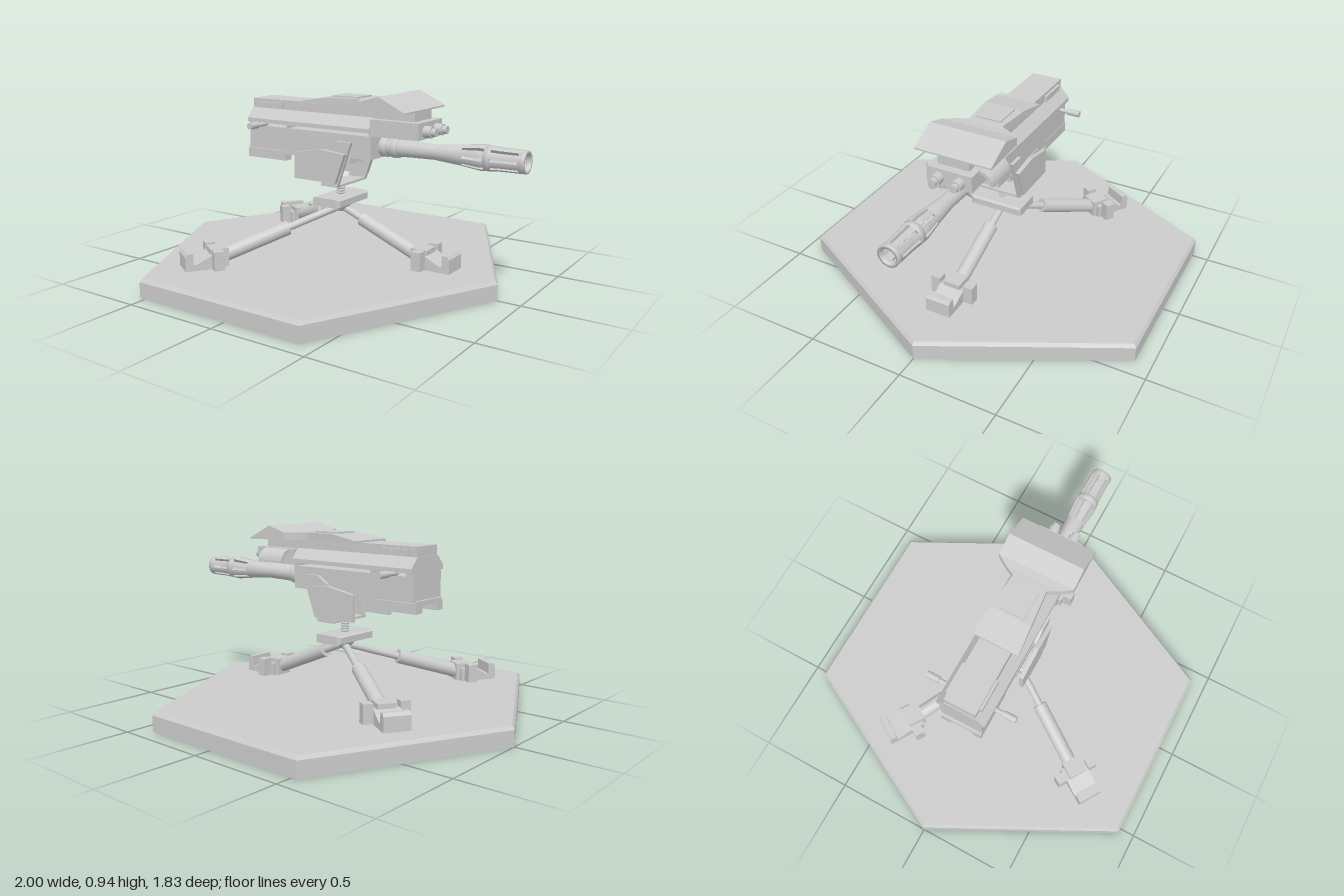
import * as THREE from 'three';

const flat = new THREE.MeshStandardMaterial({ color: 0xcccccc, flatShading: true });
const shell = new THREE.MeshStandardMaterial({ color: 0xcccccc, flatShading: true, side: THREE.DoubleSide });
const smooth = new THREE.MeshStandardMaterial({ color: 0xcccccc, side: THREE.DoubleSide });

function add(parent, name, geo, mat = flat) {
  const m = new THREE.Mesh(geo, mat);
  m.name = name;
  parent.add(m);
  return m;
}

// Box from its limits on each axis
function box(parent, name, x0, x1, y0, y1, z0, z1) {
  const g = new THREE.BoxGeometry(x1 - x0, y1 - y0, z1 - z0);
  g.translate((x0 + x1) / 2, (y0 + y1) / 2, (z0 + z1) / 2);
  return add(parent, name, g);
}

function shapeOf(points) {
  return new THREE.Shape(points.map(([x, y]) => new THREE.Vector2(x, y)));
}

// Side profile (x, y) extruded from z0 to z1
function plate(parent, name, points, z0, z1) {
  const g = new THREE.ExtrudeGeometry(shapeOf(points), { depth: z1 - z0, bevelEnabled: false });
  return add(parent, name, g.translate(0, 0, z0));
}

// Round bar between two points
function rod(parent, name, a, b, r) {
  const A = new THREE.Vector3(...a), B = new THREE.Vector3(...b);
  const d = B.clone().sub(A);
  const m = add(parent, name, new THREE.CylinderGeometry(r, r, d.length(), 20), smooth);
  m.position.copy(A).add(B).multiplyScalar(0.5);
  m.quaternion.setFromUnitVectors(new THREE.Vector3(0, 1, 0), d.normalize());
  return m;
}

// Rectangular sections [x, half width, bottom, top] joined along x
function loft(parent, name, secs) {
  const n = secs.length - 1;
  const g = new THREE.BoxGeometry(n, 1, 1, n, 1, 1), p = g.attributes.position;
  for (let i = 0; i < p.count; i++) {
    const [x, w, y0, y1] = secs[Math.round(p.getX(i) + n / 2)];
    p.setXYZ(i, x, p.getY(i) > 0 ? y1 : y0, Math.sign(p.getZ(i)) * w);
  }
  g.computeVertexNormals();
  return add(parent, name, g);
}

// Hexagonal ground slab: an open-bottomed shell with a chamfered top rim
function makeBase() {
  const outer = [[-1, 0], [-0.53, 0.917], [0.412, 0.917], [0.883, 0], [0.412, -0.917], [-0.53, -0.917]];
  const levels = [[0, 1], [0.08, 1], [0.097, 0.985]];
  const pos = [], idx = [];
  for (const [y, s] of levels) for (const [x, z] of outer) pos.push(-0.06 + (x + 0.06) * s, y, z * s);
  for (let l = 0; l < 2; l++) {
    for (let i = 0; i < 6; i++) {
      const a = l * 6 + i, b = l * 6 + (i + 1) % 6;
      idx.push(a, b, b + 6, a, b + 6, a + 6);
    }
  }
  for (let i = 1; i < 5; i++) idx.push(12, 12 + i, 13 + i);
  const g = new THREE.BufferGeometry();
  g.setAttribute('position', new THREE.Float32BufferAttribute(pos, 3));
  g.setIndex(idx);
  g.computeVertexNormals();
  return g;
}

// Telescopic leg along +x with a clamped foot ending at distance r
function makeLeg(r, angle) {
  const leg = new THREE.Group();
  leg.name = 'leg';
  const hub = new THREE.Vector3(0, 0.34, 0), end = new THREE.Vector3(r - 0.17, 0.138, 0);
  const top = hub.clone().lerp(end, 1 - 0.39 / hub.distanceTo(end));
  rod(leg, 'innerRod', hub.toArray(), top.toArray(), 0.019);
  rod(leg, 'outerTube', top.toArray(), end.toArray(), 0.037);
  plate(leg, 'foot', [[-0.2, 0.103], [0, 0.103], [0, 0.175], [-0.012, 0.19], [-0.04, 0.19], [-0.04, 0.135],
    [-0.055, 0.135], [-0.13, 0.17], [-0.2, 0.17]].map(([x, y]) => [x + r, y]), -0.065, 0.065);
  box(leg, 'footClamp', r - 0.22, r - 0.13, 0.105, 0.195, -0.045, 0.045);
  for (const s of [-1, 1]) {
    box(leg, 'clampEar', r - 0.18, r - 0.13, 0.105, 0.2, s * 0.09 - 0.025, s * 0.09 + 0.025);
  }
  leg.rotation.y = angle * Math.PI / 180;
  return leg;
}

// Sector of a ring as a closed shape
function ringSector(r0, r1, a0, a1) {
  const s = new THREE.Shape();
  s.absarc(0, 0, r1, a0, a1, false);
  s.absarc(0, 0, r0, a1, a0, true);
  return s;
}

// Barrel with a slotted muzzle, built along x
function makeBarrel() {
  const barrel = new THREE.Group();
  barrel.name = 'barrel';
  const ring = (name, profile) => {
    const g = new THREE.LatheGeometry(profile.map(([x, r]) => new THREE.Vector2(r, x)), 24);
    add(barrel, name, g.rotateZ(-Math.PI / 2), smooth);
  };
  ring('barrelTube', [[0.2, 0], [0.2, 0.042], [0.36, 0.042], [0.4, 0.04], [0.54, 0.037], [0.57, 0.04],
    [0.69, 0.05], [0.69, 0.034], [0.6, 0.03], [0.6, 0]]);
  for (const x of [0.25, 0.31]) ring('barrelCollar', [[x, 0.04], [x, 0.05], [x + 0.035, 0.05], [x + 0.035, 0.04]]);
  ring('muzzleBand', [[0.805, 0.042], [0.805, 0.061], [0.835, 0.059], [0.835, 0.042], [0.805, 0.042]]);
  ring('muzzleRing', [[0.97, 0.04], [0.97, 0.054], [1, 0.054], [1, 0.04], [0.97, 0.04]]);
  // Prongs separated by slots
  const count = 8;
  for (let i = 0; i < count; i++) {
    const a = (i + 0.5) / count * Math.PI * 2, h = 0.27;
    const g = new THREE.ExtrudeGeometry(ringSector(0.04, 0.058, a - h, a + h),
      { depth: 0.3, steps: 3, bevelEnabled: false, curveSegments: 4 });
    const p = g.attributes.position;
    for (let k = 0; k < p.count; k++) {
      const f = [0.86, 1.07, 0.95, 0.93][Math.round(p.getZ(k) / 0.1)];
      p.setXY(k, p.getX(k) * f, p.getY(k) * f);
    }
    g.computeVertexNormals();
    add(barrel, 'muzzleProng', g.rotateY(Math.PI / 2).translate(0.68, 0, 0));
  }
  barrel.position.y = 0.675;
  return barrel;
}

export function createModel() {
  const model = new THREE.Group();
  model.name = 'tripodGun';
  add(model, 'base', makeBase(), shell);

  // Tripod
  model.add(makeLeg(0.66, 0), makeLeg(0.785, 147.5), makeLeg(0.84, -122.8));
  add(model, 'hubBall', new THREE.SphereGeometry(0.03, 20, 12), smooth).position.y = 0.338;
  loft(model, 'hubPlate', [[-0.085, 0.13, 0.362, 0.395], [-0.072, 0.143, 0.358, 0.402],
    [0.065, 0.143, 0.358, 0.402], [0.078, 0.13, 0.362, 0.395]]);
  const cone = add(model, 'hubCone', new THREE.CylinderGeometry(0.065, 0.035, 0.035, 8));
  cone.position.y = 0.343;
  rod(model, 'pivotPost', [-0.005, 0.4, 0], [-0.005, 0.47, 0], 0.014);
  for (let i = 0; i < 5; i++) {
    const t = add(model, 'pivotThread', new THREE.TorusGeometry(0.016, 0.006, 8, 20), smooth);
    t.rotation.x = Math.PI / 2;
    t.position.set(-0.005, 0.409 + i * 0.013, 0);
  }

  // Cradle
  const cradle = new THREE.Group();
  cradle.name = 'cradle';
  model.add(cradle);
  box(cradle, 'cradleFloor', -0.035, 0.065, 0.463, 0.475, -0.13, 0.13);
  for (const s of [-1, 1]) {
    const side = (name, pts, a, b) => plate(cradle, name, pts, Math.min(s * a, s * b), Math.max(s * a, s * b));
    side('cradleArm', [[-0.035, 0.465], [0.065, 0.465], [0.145, 0.7], [0.06, 0.7], [0, 0.66]], 0.118, 0.135);
    side('cradlePanel', [[-0.185, 0.49], [0.065, 0.49], [0.12, 0.64], [-0.02, 0.655], [-0.185, 0.625]], 0.135, 0.157);
  }
  box(cradle, 'cradleBed', -0.18, 0.13, 0.59, 0.625, -0.115, 0.115);

  // Receiver: lower box, slot spacers, chamfered upper and front housing
  const receiver = new THREE.Group();
  receiver.name = 'receiver';
  model.add(receiver);
  box(receiver, 'lowerBody', -0.515, 0.245, 0.62, 0.736, -0.112, 0.112);
  for (const [a, b] of [[-0.515, -0.47], [-0.272, -0.258], [0.232, 0.245]]) {
    box(receiver, 'slotSpacer', a, b, 0.736, 0.754, -0.112, 0.112);
  }
  const upper = new THREE.ExtrudeGeometry(shapeOf([[-0.13, 0.754], [0.13, 0.754], [0.13, 0.775], [0.085, 0.826],
    [-0.085, 0.826], [-0.13, 0.775]]), { depth: 0.76, bevelEnabled: false });
  add(receiver, 'upperBody', upper.rotateY(Math.PI / 2).translate(-0.515, 0, 0));
  box(receiver, 'frontHousing', 0.245, 0.51, 0.74, 0.822, -0.118, 0.118);
  box(receiver, 'topCover', -0.51, 0.47, 0.822, 0.875, -0.082, 0.082);
  loft(receiver, 'sightShield', [[-0.17, 0.12, 0.872, 0.884], [-0.02, 0.108, 0.872, 0.91], [0.17, 0.09, 0.872, 0.91],
    [0.195, 0.14, 0.872, 0.91], [0.235, 0.2, 0.872, 0.913], [0.34, 0.2, 0.872, 0.943], [0.48, 0.2, 0.868, 0.876]]);
  box(receiver, 'coverPanel', -0.01, 0.14, 0.905, 0.917, -0.065, 0.065);
  box(receiver, 'rearPlate', -0.53, -0.28, 0.6, 0.622, -0.1, 0.1);

  // Paired fittings on both sides
  for (const s of [-1, 1]) {
    const pair = (name, x0, x1, y0, y1, a, b) =>
      box(receiver, name, x0, x1, y0, y1, Math.min(s * a, s * b), Math.max(s * a, s * b));
    pair('coverLatch', -0.47, -0.31, 0.83, 0.86, 0.07, 0.095);
    pair('rearRail', -0.53, -0.28, 0.562, 0.612, 0.06, 0.11);
    pair('lowerRail', -0.28, -0.16, 0.598, 0.622, 0.08, 0.112);
    rod(receiver, 'chargingStem', [-0.41, 0.747, s * 0.1], [-0.41, 0.747, s * 0.19], 0.011);
    rod(receiver, 'chargingHandle', [-0.41, 0.748, s * 0.175], [-0.41, 0.748, s * 0.24], 0.017);
    rod(receiver, 'frontKnob', [0.5, 0.777, s * 0.055], [0.55, 0.777, s * 0.055], 0.028);
    rod(receiver, 'knobTip', [0.55, 0.777, s * 0.055], [0.572, 0.777, s * 0.055], 0.02);
  }
  // Curved feed guide on the far side
  const guide = new THREE.ExtrudeGeometry(ringSector(0.05, 0.068, 0, Math.PI / 2), { depth: 0.17, bevelEnabled: false });
  add(receiver, 'feedGuide', guide.rotateY(Math.PI / 2).translate(0.27, 0.752, -0.118));

  model.add(makeBarrel());
  return model;
}
